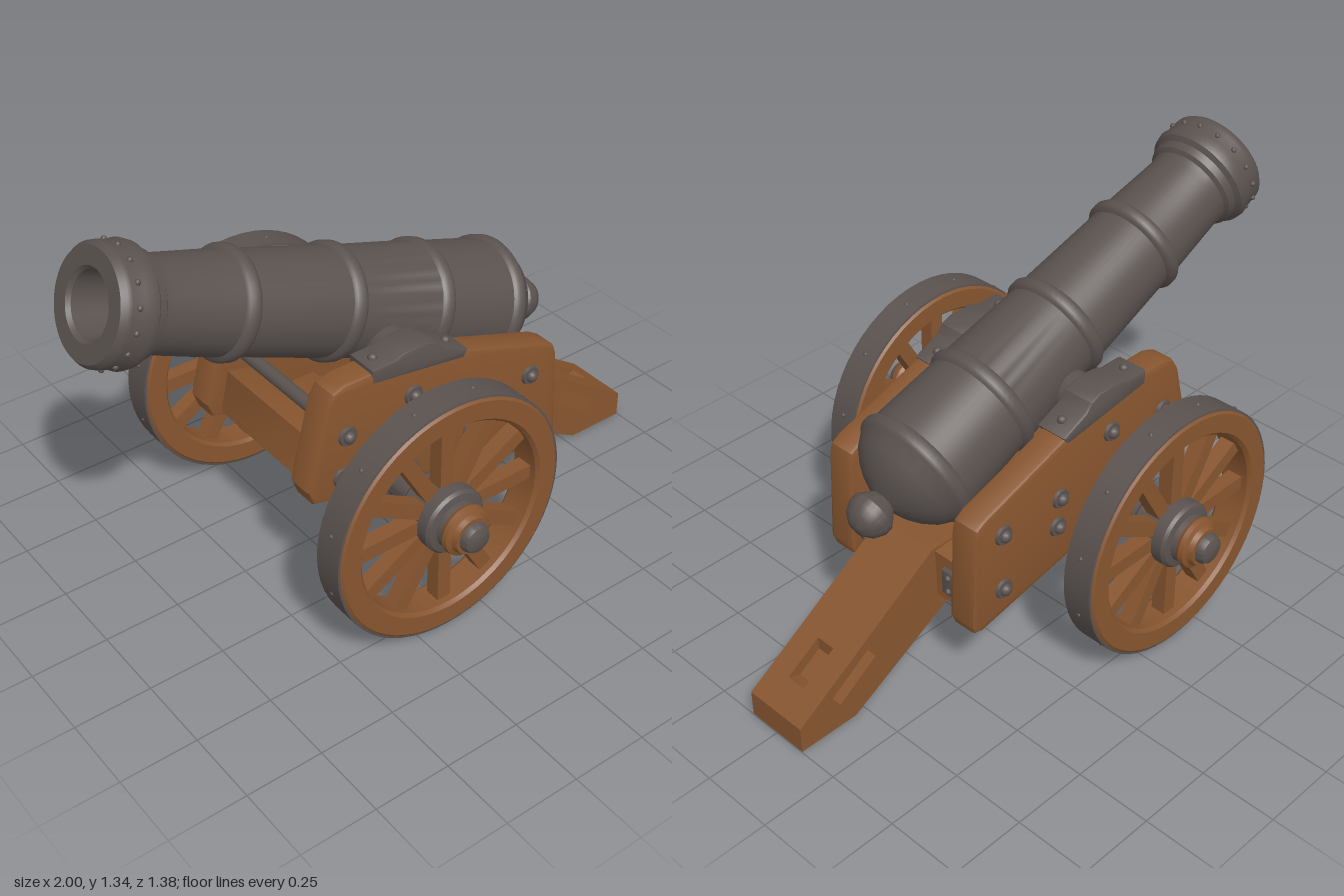
import * as THREE from 'three';
import { toCreasedNormals } from 'three/addons/utils/BufferGeometryUtils.js';

const wood = new THREE.MeshStandardMaterial({ color: 0x87552f });
wood.name = 'brown wood';
const iron = new THREE.MeshStandardMaterial({ color: 0x5a524f });
iron.name = 'dark iron';

const AXLE = [-0.14, 0.41];

function add(parent, name, geometry, material, x = 0, y = 0, z = 0) {
  const mesh = new THREE.Mesh(geometry, material);
  mesh.name = name;
  mesh.position.set(x, y, z);
  parent.add(mesh);
  return mesh;
}

const vecs = (pts) => pts.map(([x, y]) => new THREE.Vector2(x, y));

// Turned part: profile of [radius, height], counter-clockwise
const lathe = (pts, segments = 40) =>
  toCreasedNormals(new THREE.LatheGeometry(vecs(pts), segments), 0.6);

// Turned part with its axis along z
const latheZ = (pts, segments) => lathe(pts, segments).rotateX(Math.PI / 2);

// Side outline given thickness along z, centred, with a small bevel inside the outline
function slab(pts, depth, bevel = 0.01, hole) {
  const shape = new THREE.Shape(vecs(pts));
  if (hole) shape.holes.push(new THREE.Path(vecs(hole)));
  const geo = new THREE.ExtrudeGeometry(shape, {
    depth: depth - 2 * bevel, bevelEnabled: bevel > 0, bevelSize: bevel,
    bevelThickness: bevel, bevelOffset: -bevel, bevelSegments: 2, curveSegments: 6,
  });
  return toCreasedNormals(geo.translate(0, 0, bevel - depth / 2), 0.5);
}

function makeBarrel() {
  const barrel = new THREE.Group();
  barrel.name = 'barrel';
  barrel.position.set(-0.944, 1.18, 0);
  barrel.rotation.z = 1.204;

  // Profile of [distance from muzzle, radius], from the breech to inside the bore
  const ring = (s, r, body) => [[s + 0.026, body], [s + 0.02, r - 0.006], [s + 0.01, r],
    [s - 0.01, r], [s - 0.02, r - 0.006], [s - 0.026, body]];
  const profile = [
    [1.715, 0], [1.71, 0.03], [1.69, 0.057], [1.66, 0.073], [1.635, 0.073], [1.61, 0.055], [1.595, 0.042],
    [1.585, 0.07], [1.572, 0.1], [1.55, 0.135], [1.52, 0.168], [1.485, 0.19],
    ...ring(1.455, 0.206, 0.194), ...ring(1.16, 0.195, 0.183),
    ...ring(0.82, 0.181, 0.167), ...ring(0.44, 0.17, 0.153),
    [0.19, 0.139], [0.16, 0.142], [0.15, 0.155], [0.125, 0.16], [0.113, 0.175],
    [0.09, 0.18], [0.07, 0.174], [0.03, 0.174], [0.015, 0.172], [0, 0.16], [0, 0.105],
    [0.012, 0.095], [0.4, 0.092], [0.4, 0],
  ];
  add(barrel, 'barrelTube', lathe(profile.map(([s, r]) => [r, -s]), 56), iron);

  // Studs around the muzzle band
  for (let i = 0; i < 16; i++) {
    const a = (i / 16) * Math.PI * 2;
    add(barrel, 'muzzleStud', new THREE.SphereGeometry(0.009, 8, 6), iron,
      Math.cos(a) * 0.174, -0.05, Math.sin(a) * 0.174);
  }
  return barrel;
}

// One wheel, with its outer side towards +z
function makeWheel() {
  const wheel = new THREE.Group();
  wheel.name = 'wheel';
  add(wheel, 'rim', latheZ([[0.325, 0.467], [0.335, 0.456], [0.395, 0.456], [0.404, 0.464], [0.404, 0.563],
    [0.395, 0.571], [0.335, 0.571], [0.325, 0.56], [0.325, 0.467]], 56), wood);
  add(wheel, 'tyre', latheZ([[0.398, 0.462], [0.41, 0.464], [0.41, 0.563], [0.398, 0.565]], 56), iron);
  for (let i = 0; i < 12; i++) {
    const spoke = add(wheel, 'spoke', new THREE.BoxGeometry(0.048, 0.26, 0.05), wood);
    const a = (i / 12) * Math.PI * 2;
    spoke.position.set(Math.sin(a) * 0.21, Math.cos(a) * 0.21, 0.513);
    spoke.rotation.z = -a;
  }
  // Tyre nails
  for (let i = 0; i < 12; i++) {
    const a = ((i + 0.5) / 12) * Math.PI * 2;
    add(wheel, 'tyreNail', new THREE.SphereGeometry(0.008, 8, 6), iron,
      Math.cos(a) * 0.407, Math.sin(a) * 0.407, 0.513);
  }
  // Hub, from the inner collar to the end cap
  add(wheel, 'hubBand', latheZ([[0, 0.45], [0.1, 0.45], [0.108, 0.46], [0.108, 0.575], [0.1, 0.585],
    [0.078, 0.59], [0.074, 0.62], [0, 0.62]]), iron);
  add(wheel, 'hubNave', latheZ([[0.05, 0.605], [0.076, 0.608], [0.083, 0.62], [0.08, 0.635],
    [0.066, 0.642], [0.06, 0.658], [0, 0.66]]), wood);
  add(wheel, 'hubCap', latheZ([[0, 0.64], [0.049, 0.65], [0.049, 0.668], [0.042, 0.683], [0.025, 0.691], [0, 0.692]]), iron);
  // Half of the axle with its collars
  add(wheel, 'axle', latheZ([[0, 0], [0.045, 0], [0.045, 0.3], [0.07, 0.3], [0.07, 0.328], [0.058, 0.334],
    [0.058, 0.42], [0.075, 0.424], [0.075, 0.442], [0.055, 0.452], [0, 0.452]]), iron);
  return wheel;
}

// Cheek plank with bolts and trunnion strap; side is 1 or -1 in z
function makeCheek(side) {
  const cheek = new THREE.Group();
  cheek.name = 'cheek';
  const outline = [[-0.45, 0.45], [-0.2, 0.385], [0.1, 0.315], [0.455, 0.243], [0.485, 0.25], [0.497, 0.28],
    [0.482, 0.595], [0.472, 0.625], [0.44, 0.645], [-0.05, 0.815], [-0.1, 0.825], [-0.33, 0.825],
    [-0.375, 0.81], [-0.4, 0.77], [-0.468, 0.5]];
  add(cheek, 'cheekPlank', slab(outline, 0.098, 0.014), wood, 0, 0, side * 0.266);

  const bolts = [[-0.33, 0.65], [-0.35, 0.51], [-0.09, 0.69], [0.13, 0.56], [0.14, 0.46], [0.37, 0.56], [0.37, 0.36]];
  for (const [x, y] of bolts) {
    const washer = add(cheek, 'boltWasher', new THREE.CylinderGeometry(0.03, 0.033, 0.012, 16), iron, x, y, side * 0.319);
    washer.rotation.x = side * Math.PI / 2;
    const head = add(cheek, 'boltHead', new THREE.SphereGeometry(0.02, 12, 8), iron, x, y, side * 0.326);
    head.scale.z = 0.9;
  }

  const strap = [[-0.24, 0.79], [0.1, 0.74], [0.115, 0.765], [0.02, 0.808], [0, 0.835], [-0.04, 0.85],
    [-0.12, 0.85], [-0.16, 0.838], [-0.24, 0.838]];
  add(cheek, 'trunnionStrap', slab(strap, 0.112, 0.008), iron, 0, 0, side * 0.261);
  for (const [x, y] of [[-0.2, 0.838], [0.07, 0.786]])
    add(cheek, 'strapBolt', new THREE.SphereGeometry(0.015, 10, 8), iron, x, y, side * 0.262);

  const trunnion = add(cheek, 'trunnion', new THREE.CylinderGeometry(0.07, 0.07, 0.16, 24), iron, -0.07, 0.775, side * 0.2);
  trunnion.rotation.x = Math.PI / 2;

  // Corner bracket between the cheek and rear transom
  add(cheek, 'rearBracket', slab([[-0.03, -0.045], [0.03, -0.045], [0.03, 0.045], [-0.03, 0.045]], 0.02, 0.006)
    .rotateY(Math.PI / 2), iron, 0.455, 0.35, side * 0.182);
  for (const y of [0.325, 0.375])
    add(cheek, 'bracketBolt', new THREE.SphereGeometry(0.011, 8, 6), iron, 0.466, y, side * 0.182);
  return cheek;
}

// Trail beam with a slot through its sides and a mortise from the top
function makeTrail() {
  const trail = new THREE.Group();
  trail.name = 'trail';
  const front = [[0.27, 0.29], [0.79, 0], [0.998, 0], [0.998, 0.088]];
  const back = [[0.46, 0.44], [0.3, 0.44]];
  const slot = [[0.70, 0.18], [0.73, 0.222], [0.872, 0.125], [0.845, 0.08]];
  for (const side of [1, -1])
    add(trail, 'trailSide', slab([...front, ...back], 0.078, 0, slot), wood, 0, 0, side * 0.073);
  const notched = [...front, [0.915, 0.142], [0.872, 0.125], [0.845, 0.08], [0.70, 0.18], [0.73, 0.222], [0.795, 0.178],
    [0.795, 0.221], ...back];
  add(trail, 'trailCore', slab(notched, 0.068, 0), wood);
  return trail;
}

// Planks and rods joining the two cheeks
function makeBed() {
  const bed = new THREE.Group();
  bed.name = 'bed';
  add(bed, 'rearTransom', slab([[0.28, 0.3], [0.445, 0.262], [0.45, 0.43], [0.28, 0.44]], 0.45), wood);
  add(bed, 'floorPlank', slab([[-0.37, 0.445], [0.3, 0.285], [0.3, 0.35], [-0.37, 0.51]], 0.45), wood);
  add(bed, 'frontTransom', slab([[-0.42, 0.46], [-0.29, 0.43], [-0.26, 0.57], [-0.39, 0.6]], 0.45), wood);
  add(bed, 'axleBeam', slab([[-0.21, 0.36], [-0.07, 0.33], [-0.07, 0.46], [-0.21, 0.46]], 0.45), wood);
  for (const [x, y] of [[0.13, 0.46], [-0.33, 0.65]]) {
    const rod = add(bed, 'crossRod', new THREE.CylinderGeometry(0.022, 0.022, 0.5, 16), iron, x, y, 0);
    rod.rotation.x = Math.PI / 2;
  }
  return bed;
}

export function createModel() {
  const model = new THREE.Group();
  model.name = 'fieldCannon';
  model.add(makeBarrel(), makeTrail(), makeBed());
  for (const side of [1, -1]) {
    const wheel = makeWheel();
    wheel.position.set(AXLE[0], AXLE[1], 0);
    if (side < 0) wheel.rotation.y = Math.PI;
    model.add(wheel, makeCheek(side));
  }
  return model;
}
